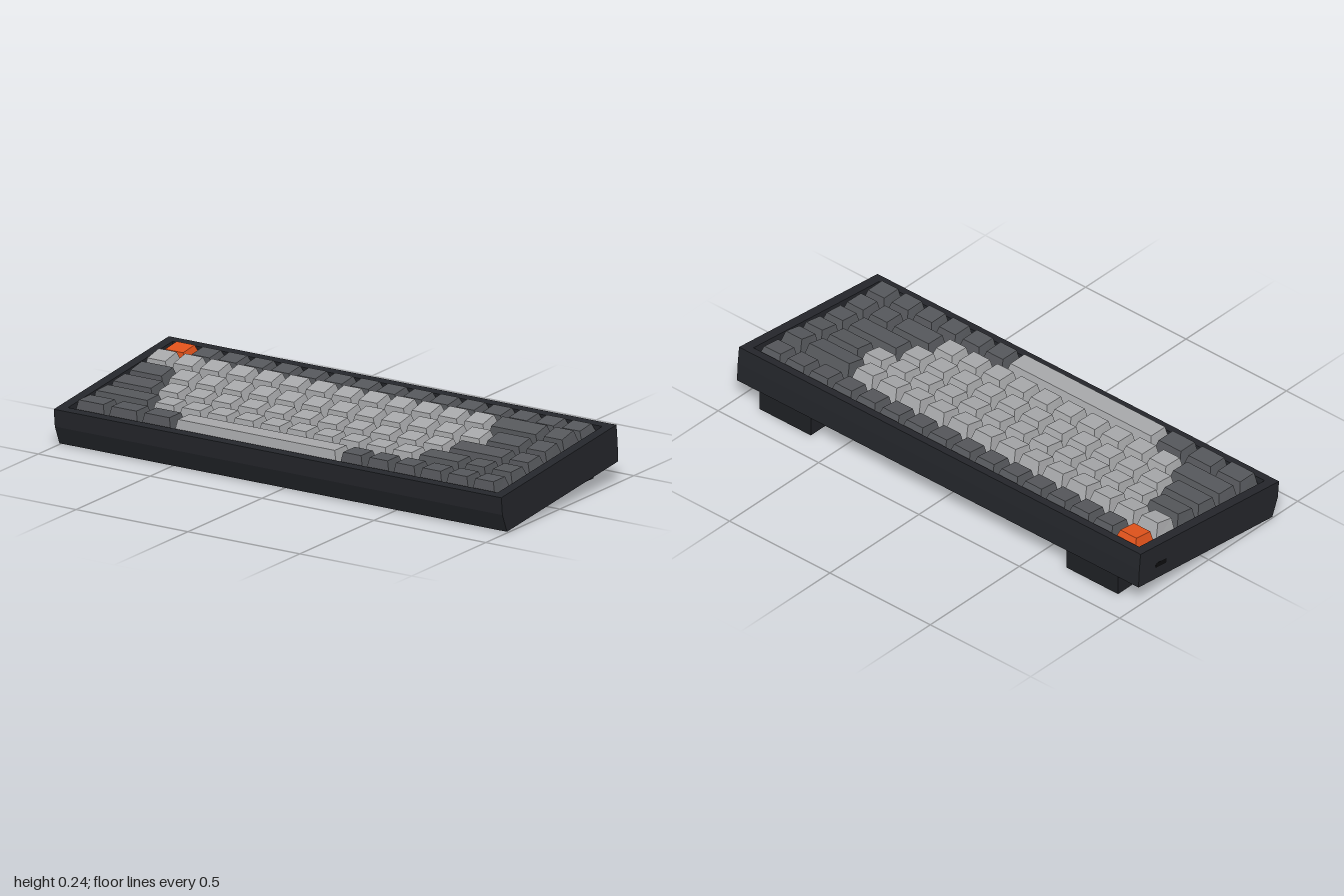
import * as THREE from 'three';

const mat = (color) => new THREE.MeshStandardMaterial({ color, roughness: 0.7, flatShading: true });

const caseMat = mat(0x24262b);
const footMat = mat(0x1f2125);
const portMat = mat(0x0c0c0e);
const plateMat = mat(0xb08a4a);
const darkKey = mat(0x55575b);
const lightKey = mat(0xa6a7a9);
const accentKey = mat(0xe0521b);

const UNIT = 0.1182;      // key pitch
const TILT = THREE.MathUtils.degToRad(6);
const KEY_BASE = 0.15;

// Rows from back to front: [width in units, count, light?], sculpted heights
// of the cap's back and front edge, and the depth position of the cap's top.
const ROWS = [
  { back: 0.202, front: 0.200, top: -0.3075, keys: [[1, 16, false]] },
  { back: 0.219, front: 0.210, top: -0.188, keys: [[1, 13, true], [2, 1, false], [1, 1, false]] },
  { back: 0.211, front: 0.205, top: -0.072, keys: [[1.5, 1, false], [1, 12, true], [1.5, 1, false], [1, 1, false]] },
  { back: 0.205, front: 0.205, top: 0.0445, keys: [[1.75, 1, false], [1, 11, true], [2.25, 1, false], [1, 1, false]] },
  { back: 0.204, front: 0.210, top: 0.160, keys: [[2.25, 1, false], [1, 10, true], [1.75, 1, false], [1, 2, false]] },
  { back: 0.208, front: 0.2165, top: 0.278, keys: [[1.25, 3, false], [6.25, 1, true], [1, 6, false]] },
];

function add(parent, name, geometry, material) {
  const mesh = new THREE.Mesh(geometry, material);
  mesh.name = name;
  parent.add(mesh);
  return mesh;
}

function rectangle(target, x0, y0, x1, y1) {
  target.moveTo(x0, y0);
  target.lineTo(x1, y0);
  target.lineTo(x1, y1);
  target.lineTo(x0, y1);
  target.closePath();
  return target;
}

// Tapered cap: a box whose top is drawn in and sloped from back to front
function keycapGeometry(units, row, baseZ) {
  const width = units * UNIT - 0.008;
  const depth = UNIT - 0.009;
  const g = new THREE.BoxGeometry(width, 1, depth);
  const p = g.attributes.position;
  for (let i = 0; i < p.count; i++) {
    const sx = Math.sign(p.getX(i));
    const sz = Math.sign(p.getZ(i));
    if (p.getY(i) > 0) {
      p.setXYZ(i, sx * (width / 2 - 0.015), sz > 0 ? row.front : row.back, row.top + sz * 0.039);
    } else {
      p.setXYZ(i, sx * width / 2, KEY_BASE, baseZ + sz * depth / 2);
    }
  }
  g.computeVertexNormals();
  return g;
}

function addKeys(parent) {
  const keys = new THREE.Group();
  keys.name = 'keys';
  parent.add(keys);
  ROWS.forEach((row, r) => {
    const baseZ = 0.279 - (5 - r) * UNIT;
    let x = -8 * UNIT;
    for (const [units, count, light] of row.keys) {
      const geometry = keycapGeometry(units, row, baseZ);
      for (let i = 0; i < count; i++) {
        const accent = r === 0 && i === 0;
        const name = accent ? 'accentKey' : units > 6 ? 'spaceBar' : light ? 'lightKey' : 'darkKey';
        const key = add(keys, name, geometry, accent ? accentKey : light ? lightKey : darkKey);
        key.position.x = x + units * UNIT / 2;
        x += units * UNIT;
      }
    }
  });
}

export function createModel() {
  const model = new THREE.Group();
  model.name = 'keyboard';

  // Everything but the feet leans forward
  const body = new THREE.Group();
  body.name = 'body';
  body.rotation.x = TILT;
  model.add(body);

  // Upper case: a rim around the key well
  const rim = rectangle(new THREE.Shape(), -1, -0.3775, 1, 0.4045);
  rim.holes.push(rectangle(new THREE.Path(), -0.96, -0.341, 0.96, 0.368));
  const rimGeometry = new THREE.ExtrudeGeometry(rim, { depth: 0.07, bevelEnabled: false });
  rimGeometry.rotateX(-Math.PI / 2);
  add(body, 'upperCase', rimGeometry, caseMat).position.y = 0.118;

  // Lower case: side profile with a slanted front, drawn across the width
  const side = new THREE.Shape([
    [-0.401, 0.042], [0.3545, 0.042], [0.3775, 0.118], [-0.4045, 0.118],
  ].map(([z, y]) => new THREE.Vector2(z, y)));
  const lowerGeometry = new THREE.ExtrudeGeometry(side, { depth: 2, bevelEnabled: false });
  lowerGeometry.rotateY(-Math.PI / 2);
  add(body, 'lowerCase', lowerGeometry, caseMat).position.x = 1;

  // Switch plate seen between the keys
  add(body, 'switchPlate', new THREE.BoxGeometry(1.918, 0.022, 0.707), plateMat)
    .position.set(0, 0.131, -0.0135);

  // Cable port on the right side, near the back
  add(body, 'port', new THREE.BoxGeometry(0.004, 0.02, 0.06), portMat)
    .position.set(-0.9985, 0.1, -0.28);

  addKeys(body);

  // Rear feet
  for (const s of [-1, 1]) {
    add(model, s > 0 ? 'leftFoot' : 'rightFoot', new THREE.BoxGeometry(0.256, 0.09, 0.096), footMat)
      .position.set(s * 0.765, 0.045, -0.341);
  }

  return model;
}
